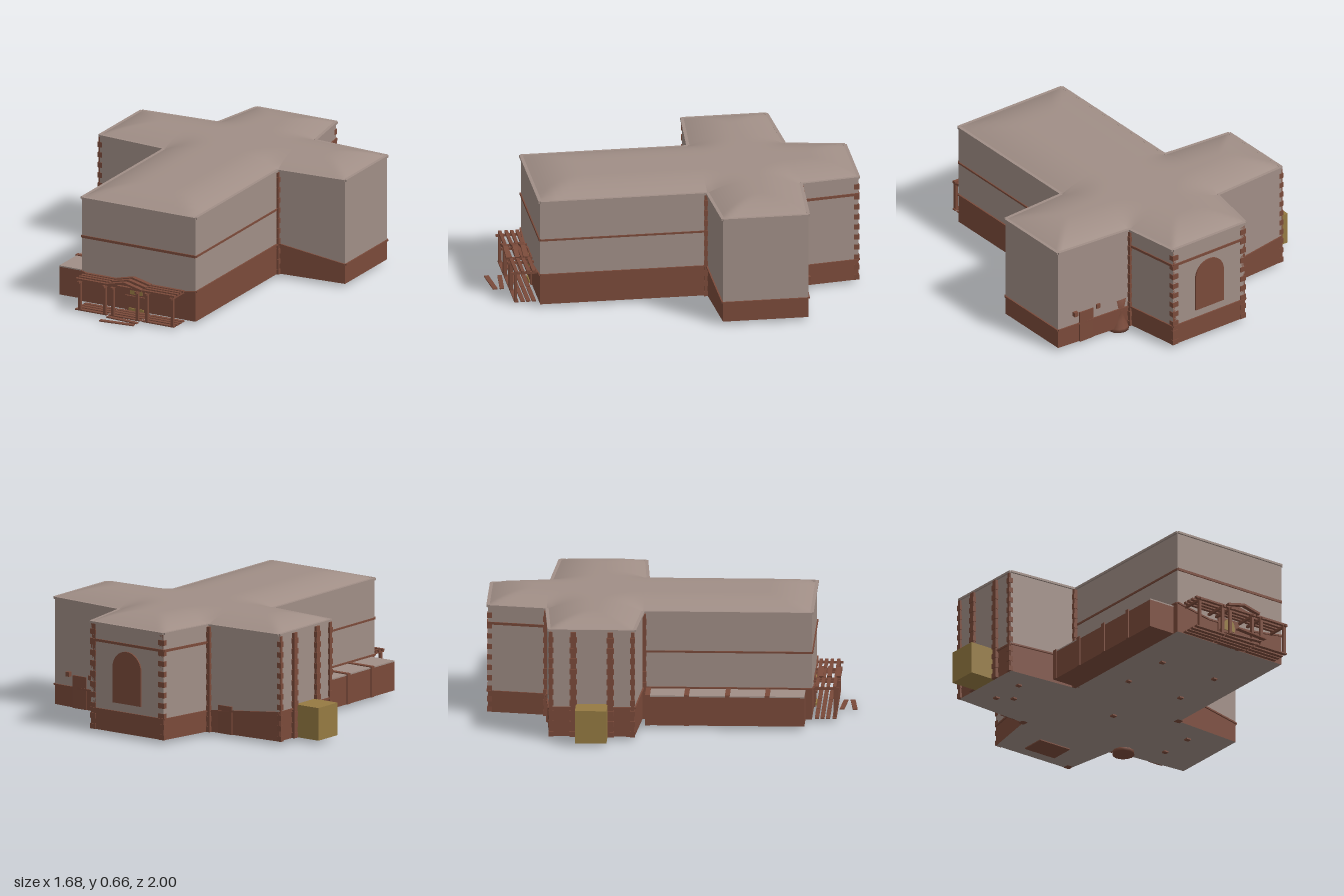
import * as THREE from 'three';

const stone = new THREE.MeshStandardMaterial({ color: 0xa08e86, side: THREE.DoubleSide });
stone.name = 'stone';
const wood = new THREE.MeshStandardMaterial({ color: 0x7a4a3a, side: THREE.DoubleSide });
wood.name = 'wood';
const ochre = new THREE.MeshStandardMaterial({ color: 0x957a42 });
ochre.name = 'ochre';

const FLOOR = 0.02, EAVE = 0.61, RIDGE = 0.662;
// cross-shaped plan: x, z, height of the wooden base at that corner
const plan = [
  [-0.27, 0.76, 0.19], [-0.06, 0.76, 0.15], [0.2, 0.76, 0.155], [0.43, 0.76, 0.19],
  [0.43, -0.15, 0.19], [0.83, -0.175, 0.13], [0.83, -0.64, 0.13], [0.37, -0.67, 0.135],
  [0.32, -0.99, 0.135], [-0.17, -0.99, 0.135], [-0.23, -0.67, 0.135],
  [-0.685, -0.64, 0.18], [-0.685, -0.18, 0.18], [-0.27, -0.15, 0.19],
];

export function createModel() {
  const root = new THREE.Group();
  root.name = 'crossPlanHall';

  const add = (name, geo, mat, x = 0, y = 0, z = 0) => {
    const m = new THREE.Mesh(geo, mat);
    m.name = name;
    m.position.set(x, y, z);
    root.add(m);
    return m;
  };
  // box given by its limits
  const box = (name, mat, x0, x1, y0, y1, z0, z1) =>
    add(name, new THREE.BoxGeometry(x1 - x0, y1 - y0, z1 - z0), mat, (x0 + x1) / 2, (y0 + y1) / 2, (z0 + z1) / 2);
  // straight bar between two points
  const bar = (name, mat, a, b, h, t) => {
    const A = new THREE.Vector3(...a), B = new THREE.Vector3(...b), d = B.clone().sub(A), len = d.length();
    const m = add(name, new THREE.BoxGeometry(len, h, t), mat, ...A.add(B).multiplyScalar(0.5).toArray());
    m.rotation.order = 'YZX';
    m.rotation.y = Math.atan2(-d.z, d.x);
    m.rotation.z = Math.asin(d.y / len);
    return m;
  };
  // vertical ring around the plan between two height rules
  const ring = (name, mat, low, high) => {
    const pos = [];
    plan.forEach((a, i) => {
      const b = plan[(i + 1) % plan.length];
      const c = [[a[0], low(a), a[1]], [b[0], low(b), b[1]], [b[0], high(b), b[1]], [a[0], high(a), a[1]]];
      for (const k of [0, 1, 2, 0, 2, 3]) pos.push(...c[k]);
    });
    const g = new THREE.BufferGeometry();
    g.setAttribute('position', new THREE.Float32BufferAttribute(pos, 3));
    g.computeVertexNormals();
    add(name, g, mat);
  };
  ring('baseWall', wood, () => FLOOR, p => p[2]);
  ring('upperWall', stone, p => p[2], () => EAVE);

  // floor slab face
  const floorShape = new THREE.Shape(plan.map(p => new THREE.Vector2(p[0], p[1])));
  add('floor', new THREE.ShapeGeometry(floorShape).rotateX(Math.PI / 2), stone, 0, FLOOR, 0);

  // base trim and eaves follow every wall
  plan.forEach((a, i) => {
    const b = plan[(i + 1) % plan.length];
    bar('baseTrim', wood, [a[0], a[2], a[1]], [b[0], b[2], b[1]], 0.009, 0.016);
    bar('eave', stone, [a[0], EAVE - 0.002, a[1]], [b[0], EAVE - 0.002, b[1]], 0.012, 0.018);
  });

  // domed roof: height grows with distance from the nearest wall
  const edgeDistance = (x, z) => Math.min(...plan.map((a, i) => {
    const b = plan[(i + 1) % plan.length], dx = b[0] - a[0], dz = b[1] - a[1];
    const t = THREE.MathUtils.clamp(((x - a[0]) * dx + (z - a[1]) * dz) / (dx * dx + dz * dz), 0, 1);
    return Math.hypot(x - a[0] - t * dx, z - a[1] - t * dz);
  }));
  const roofY = (x, z) => {
    const t = Math.min(1, edgeDistance(x, z) / 0.23);
    return EAVE + (RIDGE - EAVE) * (1 - (1 - t) ** 2);
  };
  const patches = { naveRoof: [0, 3, 4, 13], crossingRoof: [13, 4, 7, 10], leftArmRoof: [4, 5, 6, 7],
    rightArmRoof: [12, 13, 10, 11], apseRoof: [10, 7, 8, 9] };
  for (const [name, ids] of Object.entries(patches)) {
    const [A, B, C, D] = ids.map(i => plan[i]);
    const g = new THREE.PlaneGeometry(1, 1, 20, 20), p = g.attributes.position;
    for (let i = 0; i < p.count; i++) {
      const u = p.getX(i) + 0.5, v = p.getY(i) + 0.5;
      const mix = k => (A[k] * (1 - u) + B[k] * u) * (1 - v) + (D[k] * (1 - u) + C[k] * u) * v;
      p.setXYZ(i, mix(0), roofY(mix(0), mix(1)), mix(1));
    }
    g.computeVertexNormals();
    add(name, g, stone);
  }

  // string courses on nave and apse
  const course = (i, j, y, h) => bar('stringCourse', wood, [plan[i][0], y, plan[i][1]], [plan[j][0], y, plan[j][1]], h, 0.012);
  course(0, 3, 0.39, 0.014);
  course(3, 4, 0.39, 0.01);
  course(13, 0, 0.39, 0.01);
  for (const i of [7, 8, 9]) course(i, i + 1, 0.513, 0.014);

  // corner piers of alternating blocks
  const piers = [[-0.275, -0.15], [0.425, -0.15], [0.362, -0.67], [-0.232, -0.67], [0.305, -0.975],
    [-0.155, -0.975], [-0.685, -0.51], [-0.685, -0.31], [-0.685, -0.63], [-0.685, -0.19]];
  piers.forEach(([x, z], k) => {
    const s = k < 8 ? 0.015 : 0.009;
    for (let i = 0; i < 20; i++) {
      const r = s + (i % 2 ? 0 : 0.004), y = FLOOR + i * 0.029;
      box('cornerPier', wood, x - r, x + r, y, y + 0.029, z - r, z + r);
    }
  });

  // arched window on the apse
  const arch = (w, h) => {
    const s = new THREE.Shape();
    s.moveTo(-w, 0).lineTo(w, 0).lineTo(w, h - w);
    s.absarc(0, h - w, w, 0, Math.PI, false);
    return s;
  };
  add('apseWindow', new THREE.ExtrudeGeometry(arch(0.095, 0.29), { depth: 0.008, bevelEnabled: false }), wood, 0.075, 0.185, -0.998);

  // back doors with lamps
  const backDoor = (x, dz, top, lamps) => {
    box('backDoor', wood, x - 0.045, x + 0.045, FLOOR, top, dz - 0.012, dz);
    if (lamps) for (const s of [-1, 1]) box('wallLamp', wood, x + s * 0.075 - 0.012, x + s * 0.075 + 0.012, 0.19, 0.215, dz - 0.02, dz);
  };
  backDoor(0.65, -0.647, 0.2, true);
  backDoor(-0.34, -0.657, 0.175, false);

  // flared stump beside the apse
  const stump = [[0, 0], [0.06, 0], [0.058, 0.02], [0.04, 0.06], [0.033, 0.11], [0.045, 0.19], [0, 0.19]];
  add('flaredStump', new THREE.LatheGeometry(stump.map(p => new THREE.Vector2(...p)), 12), wood, 0.42, 0, -0.635);

  // side annex with ribs
  box('annexWall', wood, -0.43, -0.27, FLOOR, 0.178, -0.13, 0.725);
  box('annexRoof', stone, -0.43, -0.27, 0.178, 0.185, -0.13, 0.725);
  for (const z of [-0.12, 0.09, 0.31, 0.525])
    box('annexRib', wood, -0.436, -0.275, FLOOR, 0.19, z - 0.013, z + 0.013);

  // store block on the right arm
  box('storeBlock', ochre, -0.84, -0.68, FLOOR, 0.2, -0.495, -0.325);

  // porch: posts, beams, roof and floor slats
  for (const x of [-0.215, -0.06, -0.01, 0.14, 0.2, 0.355]) {
    box('porchPost', wood, x - 0.008, x + 0.008, FLOOR, 0.185, 0.875, 0.891);
    box('porchJoist', wood, x - 0.007, x + 0.007, 0.172, 0.184, 0.76, 0.905);
  }
  for (const [x0, x1] of [[-0.24, -0.045], [-0.035, 0.16], [0.17, 0.37]])
    for (const z of [0.785, 0.815, 0.845, 0.88]) {
      box('porchRoofSlat', wood, x0, x1, 0.184, 0.195, z - 0.009, z + 0.009);
      box('porchFloorSlat', wood, x0, x1, 0.015, 0.022, z - 0.011, z + 0.011);
    }
  for (const z of [0.8, 0.845, 0.895]) {
    bar('gableRafter', wood, [-0.035, 0.196, z], [0.07, 0.221, z], 0.012, 0.025);
    bar('gableRafter', wood, [0.07, 0.221, z], [0.175, 0.196, z], 0.012, 0.025);
  }
  bar('loosePlank', wood, [-0.03, 0.018, 0.912], [0.165, 0.018, 0.928], 0.006, 0.024);
  bar('loosePlank', wood, [-0.035, 0.018, 0.984], [0.165, 0.018, 0.964], 0.006, 0.026);

  // front door
  box('frontDoor', wood, 0, 0.14, FLOOR, 0.185, 0.755, 0.768);
  add('doorLight', new THREE.ExtrudeGeometry(arch(0.036, 0.065), { depth: 0.006, bevelEnabled: false }), ochre, 0.07, 0.115, 0.767);
  box('doorSill', ochre, 0.025, 0.115, 0.022, 0.036, 0.766, 0.774);
  box('doorRail', wood, 0.005, 0.135, 0.095, 0.107, 0.766, 0.778);

  // small footings under the floor
  for (const [x, z] of [[-0.54, -0.3], [-0.46, -0.45], [-0.54, -0.5], [-0.1, 0.4], [0.25, 0.4], [-0.1, 0.1],
    [0.25, 0.1], [0.6, -0.3], [0.6, -0.5], [0.1, -0.3]])
    box('footing', wood, x - 0.013, x + 0.013, 0.012, 0.021, z - 0.013, z + 0.013);
  box('apseHatch', wood, -0.03, 0.17, 0.014, 0.021, -0.92, -0.78);
  return root;
}
